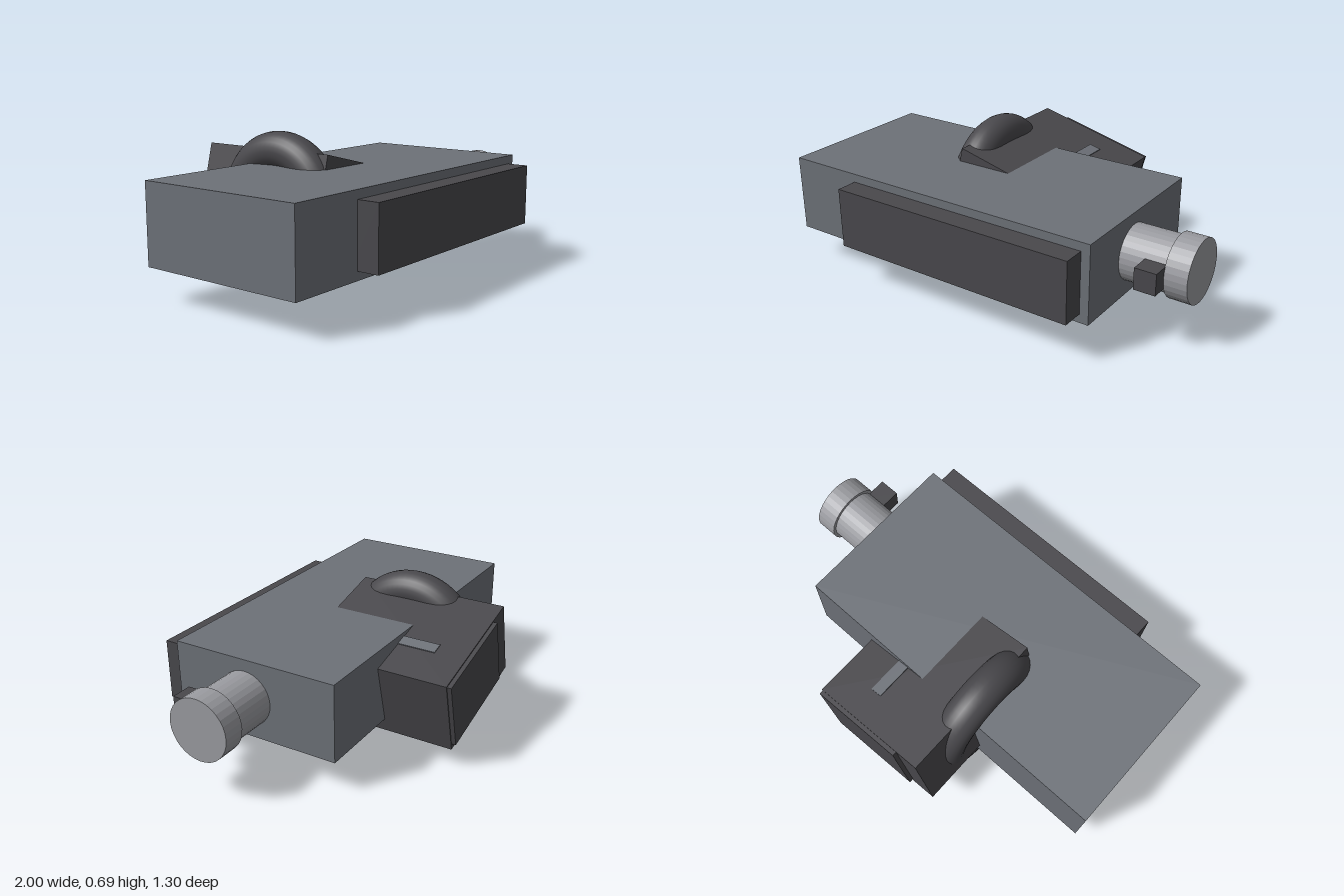
import * as THREE from 'three';

const material = (name, color) => {
  const m = new THREE.MeshStandardMaterial({ color });
  m.name = name;
  return m;
};

export function createModel() {
  const model = new THREE.Group();
  model.name = 'device';
  const grey = material('body grey', 0x6d7178);
  const dark = material('dark grey', 0x49484c);
  const metal = material('light metal', 0x9a9ba0);

  const add = (parent, name, geometry, mat, x, y, z) => {
    const mesh = new THREE.Mesh(geometry, mat);
    mesh.name = name;
    mesh.position.set(x, y, z);
    parent.add(mesh);
    return mesh;
  };
  const box = (parent, name, mat, w, h, d, x, y, z) =>
    add(parent, name, new THREE.BoxGeometry(w, h, d), mat, x, y, z);

  // Faceted round part lying along x
  const barrel = (name, radius, x0, x1) => {
    const g = new THREE.CylinderGeometry(radius, radius, x1 - x0, 32).rotateZ(-Math.PI / 2).toNonIndexed();
    g.computeVertexNormals();
    add(model, name, g, metal, (x0 + x1) / 2, 0.347, 0.167);
  };

  // Main block and front panel
  box(model, 'body', grey, 1.674, 0.376, 0.836, -0.163, 0.347, 0.124);
  box(model, 'frontPanel', dark, 1.256, 0.294, 0.14, 0.003, 0.347, 0.577);

  // Side knob with its cap and lug
  barrel('knobShaft', 0.132, 0.64, 0.895);
  barrel('knobCap', 0.149, 0.893, 1.0);
  box(model, 'knobLug', dark, 0.103, 0.102, 0.13, 0.843, 0.347, 0.32);

  // Tilted rear block with back plate and top strip
  const rear = new THREE.Group();
  rear.name = 'rearUnit';
  rear.position.set(-0.04, 0.347, 0);
  rear.rotation.z = -0.245;
  model.add(rear);
  box(rear, 'rearBlock', dark, 0.629, 0.371, 0.755, 0, 0, -0.2525);
  box(rear, 'backPlate', dark, 0.5, 0.334, 0.04, 0.06, 0.013, -0.631);
  box(rear, 'topStrip', grey, 0.06, 0.012, 0.26, 0.092, 0.184, -0.35);

  // Ring wrapped around the body
  add(model, 'ring', new THREE.TorusGeometry(0.255, 0.09, 24, 64).rotateY(Math.PI / 2), dark, -0.29, 0.346, -0.165);

  return model;
}
